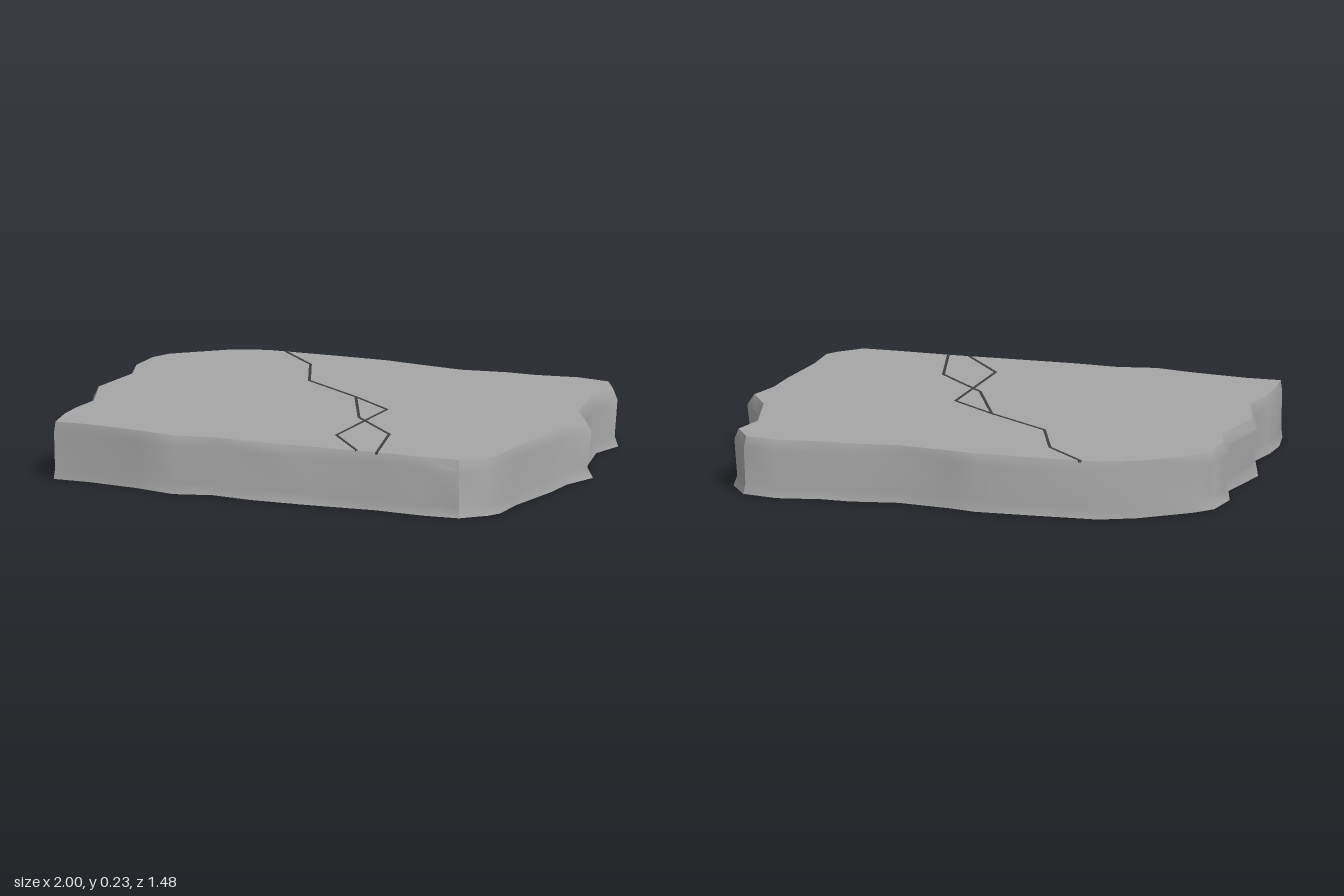
import * as THREE from 'three';
import { toCreasedNormals } from 'three/addons/utils/BufferGeometryUtils.js';

// Broken slab outline, clockwise seen from above: x, z, edge inset
const OUTLINE = [
  [-0.91, -0.53, 0.004], [-0.72, -0.67, 0.002], [-0.58, -0.73, 0.012], [-0.3, -0.737, 0.016],
  [-0.09, -0.74, 0.02], [0.01, -0.715, 0.01], [0.23, -0.685, 0.008], [0.415, -0.715, 0.015],
  [0.53, -0.71, 0.012], [0.7, -0.74, 0.02], [0.84, -0.71, 0.015], [0.91, -0.595, 0.02],
  [0.87, -0.46, 0.02], [0.92, -0.21, 0.025], [1.0, -0.08, 0.032], [0.945, 0.06, 0.02],
  [0.93, 0.2, 0.02], [0.88, 0.44, 0.012], [0.87, 0.59, 0.01], [0.84, 0.64, 0.015],
  [0.75, 0.72, 0.015], [0.6, 0.727, 0.022], [0.4, 0.71, 0.012], [0.11, 0.722, 0.022],
  [-0.1, 0.722, 0.022], [-0.27, 0.7, 0.01], [-0.42, 0.737, 0.022], [-0.58, 0.695, 0.01],
  [-0.79, 0.667, 0.006], [-0.935, 0.667, 0.008], [-0.96, 0.53, 0.018], [-0.955, 0.41, 0.02],
  [-0.93, 0.29, 0.018], [-1.0, 0.07, 0.025], [-0.95, -0.18, 0.022], [-0.99, -0.31, 0.026],
  [-0.97, -0.46, 0.022],
];
// Wall profile: height, share of the inset
const PROFILE = [[0, 0], [0.04, 0.7], [0.185, 0.15], [0.227, 1]];
const TOP = 0.227;

const CRACKS = [
  [[-0.505, -0.72], [-0.34, -0.555], [-0.25, -0.305], [0.01, -0.12], [0.195, 0.03], [0.16, 0.49], [0.32, 0.695]],
  [[0.01, -0.12], [0.14, 0.19], [0.345, 0.405], [0.405, 0.7]],
];

function ring(y, share) {
  const n = OUTLINE.length;
  return OUTLINE.map(([x, z, inset], i) => {
    const p = OUTLINE[(i + n - 1) % n], q = OUTLINE[(i + 1) % n];
    const inward = new THREE.Vector2(p[1] - q[1], q[0] - p[0]).normalize();
    return new THREE.Vector3(x + inward.x * inset * share, y, z + inward.y * inset * share);
  });
}

function slabGeometry() {
  const rings = PROFILE.map(([y, share]) => ring(y, share));
  const pos = [];
  const tri = (a, b, c) => pos.push(...a.toArray(), ...b.toArray(), ...c.toArray());
  // walls
  for (let k = 0; k < rings.length - 1; k++) {
    const lo = rings[k], hi = rings[k + 1];
    lo.forEach((a, i) => {
      const j = (i + 1) % lo.length;
      tri(a, hi[j], lo[j]);
      tri(a, hi[i], hi[j]);
    });
  }
  // top and underside
  const cap = (r, up) => {
    const contour = r.map(p => new THREE.Vector2(p.x, p.z));
    for (const [i, j, k] of THREE.ShapeUtils.triangulateShape(contour, [])) {
      const a = r[i], b = r[j], c = r[k];
      const ny = (b.z - a.z) * (c.x - a.x) - (b.x - a.x) * (c.z - a.z);
      if (ny > 0 === up) tri(a, b, c); else tri(a, c, b);
    }
  };
  cap(rings[rings.length - 1], true);
  cap(rings[0], false);
  const g = new THREE.BufferGeometry();
  g.setAttribute('position', new THREE.Float32BufferAttribute(pos, 3));
  return toCreasedNormals(g, 0.68);
}

export function createModel() {
  const stone = new THREE.MeshStandardMaterial({ color: 0xa6a6a6 });
  stone.name = 'stone grey';
  const dark = new THREE.MeshStandardMaterial({ color: 0x404040 });
  dark.name = 'crack grey';

  const model = new THREE.Group();
  model.name = 'crackedStoneSlab';
  const slab = new THREE.Mesh(slabGeometry(), stone);
  slab.name = 'slab';
  model.add(slab);

  // cracks: thin dark strips set into the top
  CRACKS.forEach((path, n) => {
    const crack = new THREE.Group();
    crack.name = n === 0 ? 'mainCrack' : 'branchCrack';
    for (let i = 0; i < path.length - 1; i++) {
      const [x0, z0] = path[i], [x1, z1] = path[i + 1];
      const length = Math.hypot(x1 - x0, z1 - z0) + 0.006;
      const strip = new THREE.Mesh(new THREE.BoxGeometry(0.011, 0.008, length), dark);
      strip.name = 'crackStrip';
      strip.position.set((x0 + x1) / 2, TOP - 0.003, (z0 + z1) / 2);
      strip.rotation.y = Math.atan2(x1 - x0, z1 - z0);
      crack.add(strip);
    }
    model.add(crack);
  });
  return model;
}
